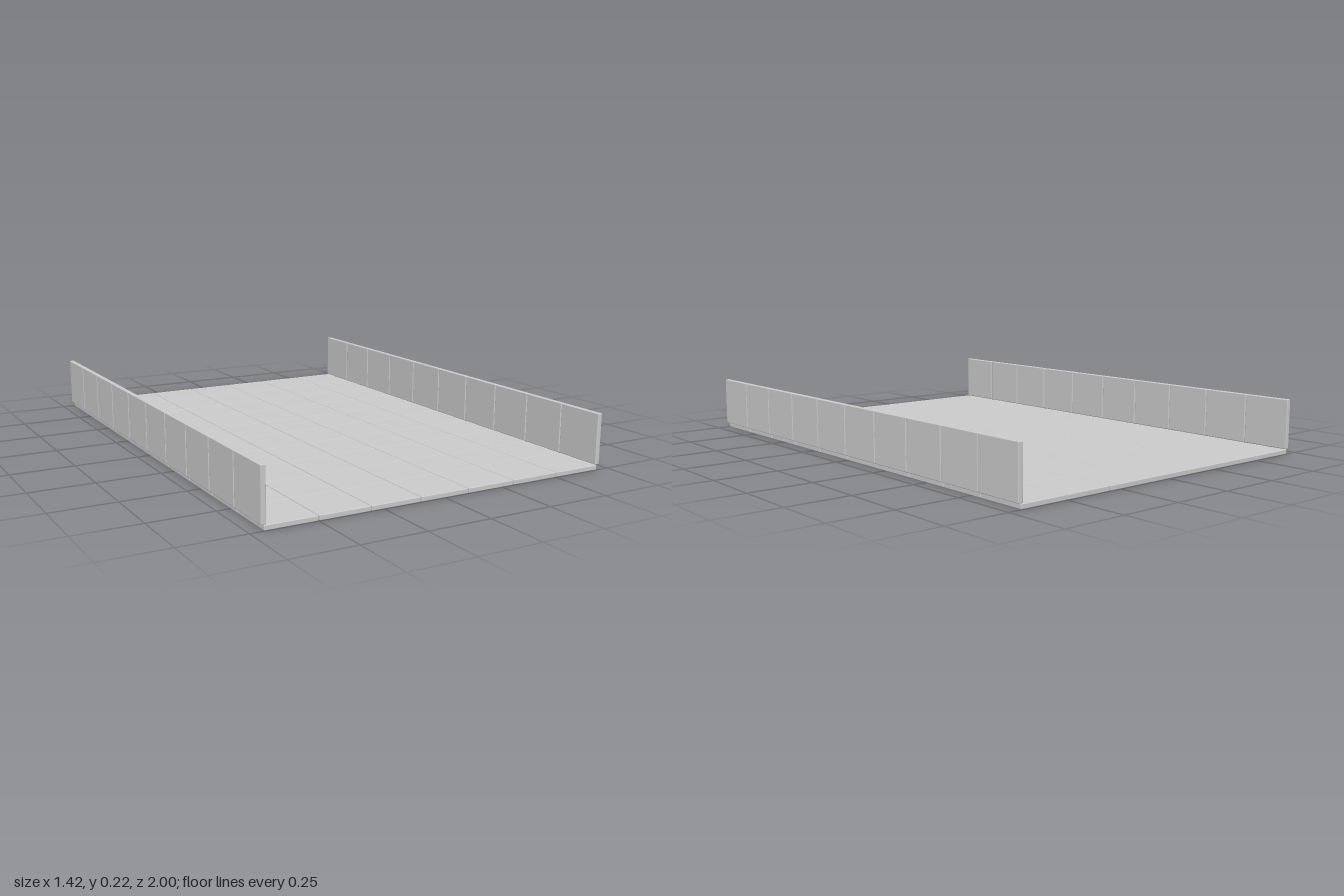
import * as THREE from 'three';
import { RoundedBoxGeometry } from 'three/addons/geometries/RoundedBoxGeometry.js';

const COLUMNS = 7, ROWS = 10;
const TILE = 0.197, THICK = 0.019, PITCH = 0.2;
const ROW_PITCH = (2 - TILE) / (ROWS - 1);

export function createModel() {
  const model = new THREE.Group();
  model.name = 'tiledTray';
  const material = new THREE.MeshStandardMaterial({ color: 0xcccccc });
  // One thin square panel with softened edges serves floor and walls
  const panel = new RoundedBoxGeometry(TILE, THICK, TILE, 2, 0.003);

  const addPanel = (parent, name, x, y, z, upright = false) => {
    const mesh = new THREE.Mesh(panel, material);
    mesh.name = name;
    mesh.position.set(x, y, z);
    if (upright) mesh.rotation.z = -Math.sign(x) * Math.PI / 2;
    parent.add(mesh);
  };

  const floor = new THREE.Group();
  floor.name = 'floor';
  const leftWall = new THREE.Group();
  leftWall.name = 'leftWall';
  const rightWall = new THREE.Group();
  rightWall.name = 'rightWall';
  model.add(floor, leftWall, rightWall);

  for (let r = 0; r < ROWS; r++) {
    const z = (r - (ROWS - 1) / 2) * ROW_PITCH;
    // Floor tiles across the row
    for (let c = 0; c < COLUMNS; c++) {
      addPanel(floor, 'floorTile', (c - (COLUMNS - 1) / 2) * PITCH, THICK / 2, z);
    }
    // Upright panels standing on the outer edges
    const wallY = 0.02 + TILE / 2;
    addPanel(leftWall, 'wallPanel', 0.7, wallY, z, true);
    addPanel(rightWall, 'wallPanel', -0.7, wallY, z, true);
  }
  return model;
}
